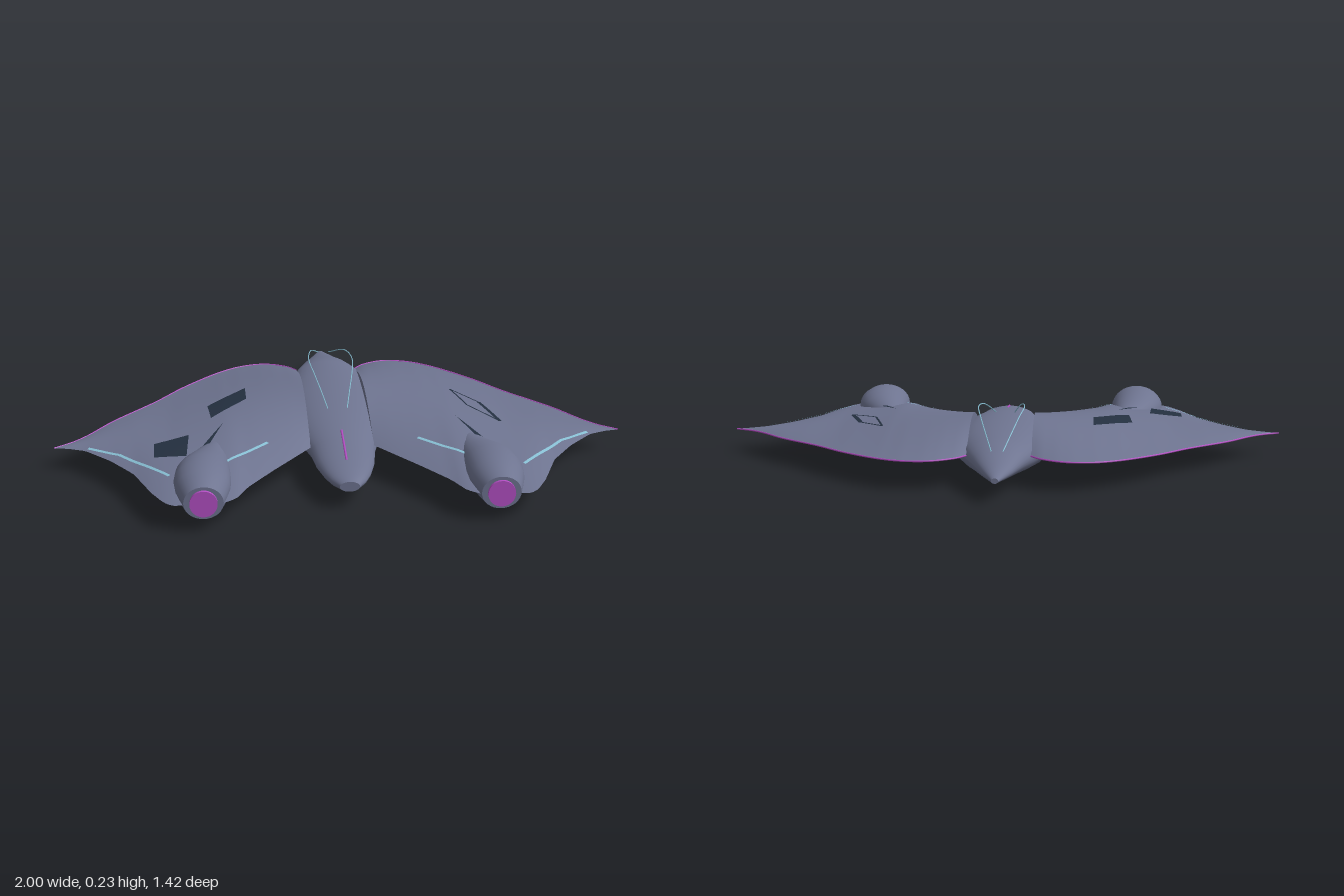
import * as THREE from 'three';

const mat = (name, color, double) => {
  const m = new THREE.MeshStandardMaterial({ color });
  m.name = name;
  if (double) m.side = THREE.DoubleSide;
  return m;
};

// Half-wing planform as [x, z] along the leading and trailing edges
const LEAD = [[.11, -.45], [.14, -.49], [.2, -.527], [.25, -.537], [.33, -.52], [.41, -.47], [.54, -.345],
  [.65, -.21], [.8, -.05], [.89, .07], [.94, .12], [1, .16]];
const TRAIL = [[.11, .285], [.25, .46], [.34, .58], [.38, .66], [.42, .69], [.59, .69], [.62, .66], [.66, .58],
  [.72, .42], [.8, .3], [.89, .2], [.95, .172], [1, .16]];
const ARCH = [[.11, .075], [.4, .06], [.6, .034], [.8, .016], [1, 0]];

function lerpTable(t, x) {
  for (let i = 1; i < t.length; i++) {
    const [a, b] = [t[i - 1], t[i]];
    if (x <= b[0]) return a[1] + (b[1] - a[1]) * (x - a[0]) / (b[0] - a[0]);
  }
  return t[t.length - 1][1];
}

// Height of the wing skin; camber 1 is the upper side
const edgeY = x => .108 - .028 * x;
function wingY(x, z, camber = 1) {
  const a = lerpTable(LEAD, x), b = lerpTable(TRAIL, x);
  const u = THREE.MathUtils.clamp((z - a) / Math.max(b - a, 1e-4), 0, 1);
  return edgeY(x) + camber * lerpTable(ARCH, x) * Math.sin(Math.PI * u);
}

// Regular grid of points, fn(i, j) -> [x, y, z]
function gridGeometry(ni, nj, fn, flip = false) {
  const pos = [], idx = [];
  for (let i = 0; i <= ni; i++) for (let j = 0; j <= nj; j++) pos.push(...fn(i, j));
  for (let i = 0; i < ni; i++) for (let j = 0; j < nj; j++) {
    const a = i * (nj + 1) + j, b = a + 1, c = a + nj + 1, d = c + 1;
    if (flip) idx.push(a, c, b, b, c, d);
    else idx.push(a, b, c, b, d, c);
  }
  const g = new THREE.BufferGeometry();
  g.setAttribute('position', new THREE.Float32BufferAttribute(pos, 3));
  g.setIndex(idx);
  g.computeVertexNormals();
  return g;
}

// Elliptical loft, sections are [z, centreX, halfWidth, top, bottom] with rising z
function loft(sections, sides = 32) {
  const first = sections[0], last = sections[sections.length - 1];
  const close = s => [s[0], s[1], 0, (s[3] + s[4]) / 2, (s[3] + s[4]) / 2];
  const all = [close(first), first, ...sections, last, close(last)];
  return gridGeometry(all.length - 1, sides, (i, j) => {
    const [z, cx, rx, top, bot] = all[i], t = j / sides * Math.PI * 2;
    return [cx + rx * Math.cos(t), (top + bot) / 2 + (top - bot) / 2 * Math.sin(t), z];
  });
}

// Wing skin: a grid between the leading and trailing edges
function wingSkin(camber, flip) {
  const nx = 60, nz = 24;
  return gridGeometry(nx, nz, (i, j) => {
    const x = .11 + .89 * i / nx, u = (1 - Math.cos(Math.PI * j / nz)) / 2;
    const z = THREE.MathUtils.lerp(lerpTable(LEAD, x), lerpTable(TRAIL, x), u);
    return [x, wingY(x, z, camber), z];
  }, flip);
}

// Thin four-cornered plate lying on the upper wing skin
function plate(c, lift = .004) {
  const n = 8, L = THREE.MathUtils.lerp;
  return gridGeometry(n, n, (i, j) => {
    const u = i / n, v = j / n;
    const x = L(L(c[0][0], c[1][0], u), L(c[3][0], c[2][0], u), v);
    const z = L(L(c[0][1], c[1][1], u), L(c[3][1], c[2][1], u), v);
    return [x, wingY(x, z) + lift, z];
  });
}

// Thin painted line between two points of the wing
function stripe(a, b, width) {
  const dx = b[0] - a[0], dz = b[1] - a[1], k = width / 2 / Math.hypot(dx, dz);
  const ox = -dz * k, oz = dx * k;
  return plate([[a[0] + ox, a[1] + oz], [b[0] + ox, b[1] + oz], [b[0] - ox, b[1] - oz], [a[0] - ox, a[1] - oz]]);
}

function tube(points, radius, segments = 40) {
  const curve = new THREE.CatmullRomCurve3(points.map(p => new THREE.Vector3(...p)));
  return new THREE.TubeGeometry(curve, segments, radius, 6);
}

function mirrored(geo) {
  const g = geo.clone().scale(-1, 1, 1), ix = g.index;
  for (let i = 0; i < ix.count; i += 3) {
    const t = ix.getX(i);
    ix.setX(i, ix.getX(i + 1));
    ix.setX(i + 1, t);
  }
  g.computeVertexNormals();
  return g;
}

export function createModel() {
  const hull = mat('slate hull', 0x6e7490);
  const magenta = mat('magenta glow', 0xb44fc4);
  const cyan = mat('cyan trim', 0x88c0d4, true);
  const dark = mat('dark panel', 0x243040, true);

  const model = new THREE.Group();
  model.name = 'glider';
  const add = (name, geo, material, parent = model) => {
    const m = new THREE.Mesh(geo, material);
    m.name = name;
    parent.add(m);
    return m;
  };

  // Fuselage
  add('fuselage', loft([
    [-.715, 0, .012, .082, .064], [-.6, 0, .055, .11, .052], [-.5, 0, .09, .14, .04], [-.45, 0, .108, .151, .034],
    [-.4, 0, .125, .159, .028], [-.25, 0, .16, .166, .01], [-.12, 0, .172, .168, .002], [0, 0, .168, .166, .005],
    [.1, 0, .156, .162, .012], [.2, 0, .136, .155, .022], [.3, 0, .112, .145, .032], [.4, 0, .1, .133, .042],
    [.48, 0, .08, .121, .05], [.53, 0, .06, .111, .056], [.57, 0, .034, .1, .064]]), hull);
  add('spineStripe', tube([[0, .15, .25], [0, .144, .31], [0, .138, .36], [0, .126, .45]], .004), magenta);

  for (const side of [1, -1]) {
    const group = new THREE.Group();
    group.name = side > 0 ? 'leftSide' : 'rightSide';
    model.add(group);
    const put = (name, geo, m) => add(name, side > 0 ? geo : mirrored(geo), m, group);

    // Wing with root face
    put('wingTop', wingSkin(1, false).clone(), hull);
    put('wingBottom', wingSkin(.45, true), hull);
    put('wingRoot', gridGeometry(1, 24, (i, j) => {
      const z = THREE.MathUtils.lerp(LEAD[0][1], TRAIL[0][1], j / 24);
      return [.11, wingY(.11, z, i ? 1 : .45), z];
    }), hull);
    put('leadingEdgeTrim', tube(LEAD.map(([x, z]) => [x, edgeY(x), z]), .003, 80), magenta);

    // Trailing edge lines
    put('outerStripe', stripe([.88, .195], [.77, .28], .011), cyan);
    put('middleStripe', stripe([.77, .28], [.6, .5], .011), cyan);
    put('innerStripe', stripe([.26, .305], [.42, .46], .011), cyan);

    // Engine pod with glowing nozzle
    put('enginePod', loft([
      [.17, .41, .003, .123, .117], [.25, .432, .03, .138, .088], [.35, .46, .062, .152, .064],
      [.42, .477, .082, .168, .05], [.48, .487, .092, .18, .042], [.55, .49, .096, .185, .039],
      [.61, .49, .091, .181, .039], [.66, .49, .078, .17, .041], [.7, .49, .066, .159, .045]]), hull);
    put('engineNozzle', new THREE.CylinderGeometry(.046, .046, .016, 32).rotateX(Math.PI / 2)
      .translate(.49, .102, .702), magenta);
    put('podSpike', plate([[.41, .17], [.41, .17], [.475, .36], [.5, .36]], .005), dark);

    // Canopy wire
    put('canopyWire', tube([[.035, .165, .08], [.05, .195, 0], [.068, .225, -.1], [.08, .235, -.22],
      [.064, .218, -.36], [.02, .14, -.55]], .002), cyan);
  }

  // Dark panels on the right wing
  const right = model.getObjectByName('rightSide');
  add('innerPanel', mirrored(plate([[.46, -.02], [.32, -.15], [.32, -.03], [.45, .105]])), dark, right);
  add('outerPanel', mirrored(plate([[.65, .25], [.53, .22], [.54, .38], [.65, .355]])), dark, right);

  // Diamond outline on the left wing
  const left = model.getObjectByName('leftSide');
  const diamond = [[.43, -.115], [.52, 0], [.57, .175], [.47, .05]];
  diamond.forEach((p, i) => add('diamondEdge', stripe(p, diamond[(i + 1) % 4], i === 1 ? .014 : .007), dark, left));

  return model;
}
